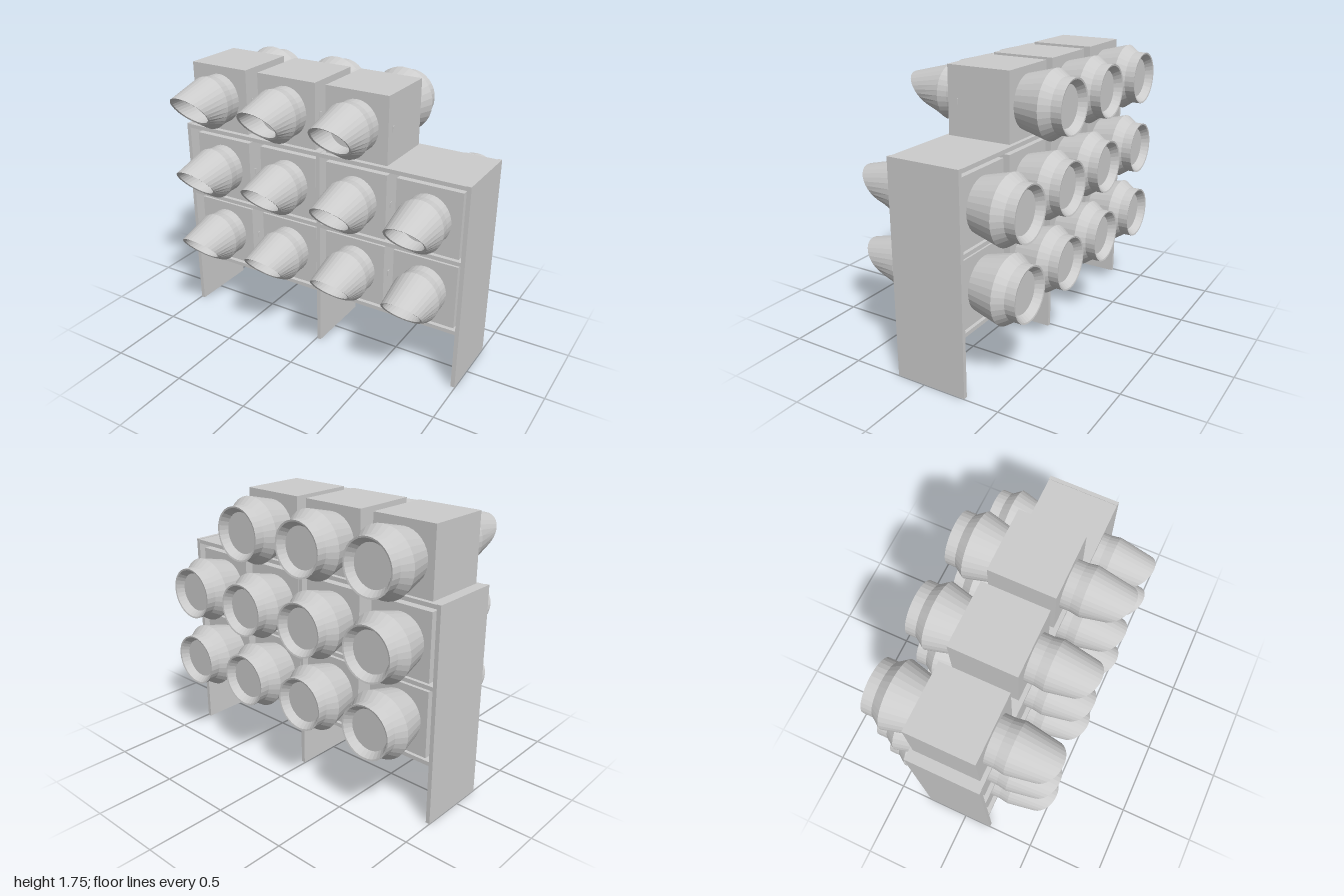
import * as THREE from 'three';

const SIDES = 32;
const material = new THREE.MeshStandardMaterial({ color: 0xcccccc, flatShading: true });

// Surface through elliptical rings; each ring is [z, rx, ry, centreY, slant in z].
function loft(rings) {
  const positions = [], index = [];
  for (const [z, rx, ry = rx, cy = 0, slant = 0] of rings) {
    for (let i = 0; i < SIDES; i++) {
      const a = (i / SIDES) * Math.PI * 2;
      positions.push(rx * Math.cos(a), cy + ry * Math.sin(a), z + slant * Math.sin(a));
    }
  }
  for (let r = 0; r < rings.length - 1; r++) {
    for (let i = 0; i < SIDES; i++) {
      const j = (i + 1) % SIDES;
      const a = r * SIDES + i, b = r * SIDES + j, c = b + SIDES, d = a + SIDES;
      if (rings[r][1] > 0) index.push(a, b, d);
      if (rings[r + 1][1] > 0) index.push(b, c, d);
      else if (rings[r][1] > 0) continue;
    }
  }
  const g = new THREE.BufferGeometry();
  g.setAttribute('position', new THREE.Float32BufferAttribute(positions, 3));
  g.setIndex(index);
  const flat = g.toNonIndexed();
  flat.computeVertexNormals();
  return flat;
}

function add(parent, name, geometry, x = 0, y = 0, z = 0) {
  const mesh = new THREE.Mesh(geometry, material);
  mesh.name = name;
  mesh.position.set(x, y, z);
  parent.add(mesh);
  return mesh;
}

// Box given by its limits on each axis.
function slab(parent, name, x0, x1, y0, y1, z0, z1) {
  return add(parent, name, new THREE.BoxGeometry(x1 - x0, y1 - y0, z1 - z0),
    (x0 + x1) / 2, (y0 + y1) / 2, (z0 + z1) / 2);
}

// Hooded front funnel with a slanted mouth and a recessed floor
const hoodGeometry = loft([
  [0.15, 0.145, 0.157],
  [0.22, 0.145, 0.157],
  [0.28, 0.154, 0.168],
  [0.455, 0.125, 0.108, -0.008, 0.096],
  [0.452, 0.112, 0.098, -0.006, 0.088],
  [0.27, 0.108, 0.098, 0],
  [0.27, 0, 0, 0],
]);

// Rear drum with a dished end, collar and flared shoulder
const drumGeometry = loft([
  [-0.505, 0],
  [-0.505, 0.125],
  [-0.548, 0.155],
  [-0.55, 0.165],
  [-0.485, 0.165],
  [-0.425, 0.207],
  [-0.24, 0.16],
]);

const caseGeometry = new THREE.BoxGeometry(0.413, 0.415, 0.413);
const latchGeometry = new THREE.BoxGeometry(0.008, 0.035, 0.02);

function createUnit(x, y) {
  const unit = new THREE.Group();
  unit.name = 'mixerUnit';
  add(unit, 'case', caseGeometry, 0, 0, -0.047);
  add(unit, 'frontHood', hoodGeometry);
  add(unit, 'rearDrum', drumGeometry);
  add(unit, 'sideLatch', latchGeometry, 0.207, 0, 0.1);
  unit.position.set(x, y, 0);
  return unit;
}

export function createModel() {
  const model = new THREE.Group();
  model.name = 'rackOfUnits';

  // Rack: three uprights and three shelves
  const rack = new THREE.Group();
  rack.name = 'rack';
  for (const x of [-0.986, 0.018, 0.984]) {
    slab(rack, 'upright', x - 0.013, x + 0.013, 0, 1.34, -0.277, 0.188);
  }
  for (const y of [0.375, 0.84, 1.312]) {
    slab(rack, 'shelf', -0.98, 0.98, y, y + 0.025, -0.275, 0.186);
  }
  model.add(rack);

  // Units: two full rows of four, and three on top
  const columns = [-0.725, -0.222, 0.265, 0.741];
  [0.607, 1.073, 1.547].forEach((y, row) => {
    columns.slice(0, row === 2 ? 3 : 4).forEach((x) => model.add(createUnit(x, y)));
  });

  return model;
}
